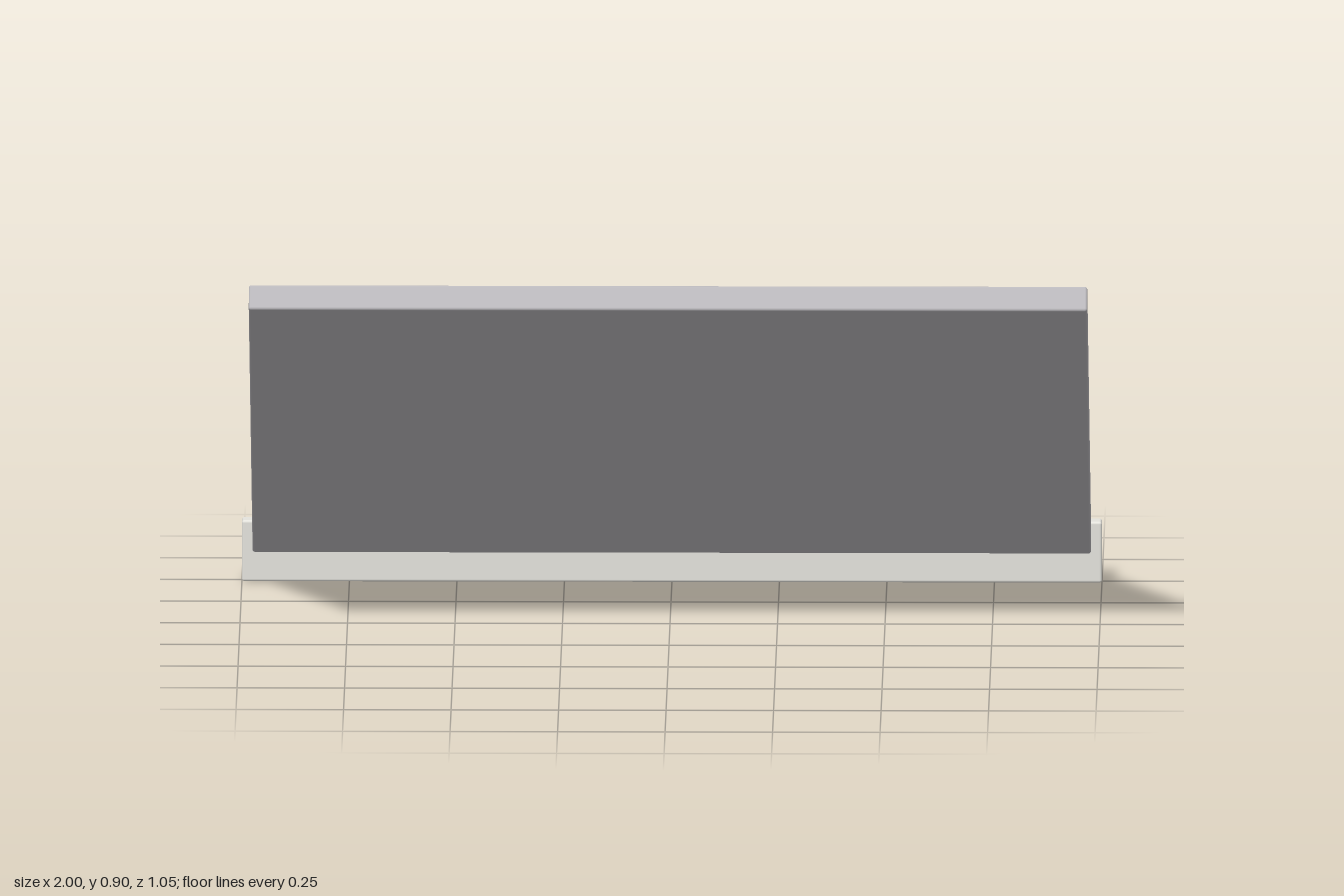
import * as THREE from 'three';
import { RoundedBoxGeometry } from 'three/addons/geometries/RoundedBoxGeometry.js';

// Softly edged slab, centred on its own origin
function slab(name, width, height, depth, color) {
  const mesh = new THREE.Mesh(
    new RoundedBoxGeometry(width, height, depth, 3, 0.006),
    new THREE.MeshStandardMaterial({ color })
  );
  mesh.name = name;
  return mesh;
}

export function createModel() {
  const group = new THREE.Group();
  group.name = 'slopedCanopy';

  // Upright rail along the back, standing on the ground
  const rail = slab('backRail', 2, 0.145, 0.046, 0xe4e3dd);
  rail.position.set(0, 0.0725, -0.5);
  group.add(rail);

  // Flat panel rising from the rail toward the front
  const panel = slab('slopedPanel', 1.95, 0.064, 1.245, 0xbab8bc);
  panel.position.set(0, 0.489, 0.02);
  panel.rotation.x = -Math.atan2(0.776, 0.968);
  group.add(panel);

  return group;
}
